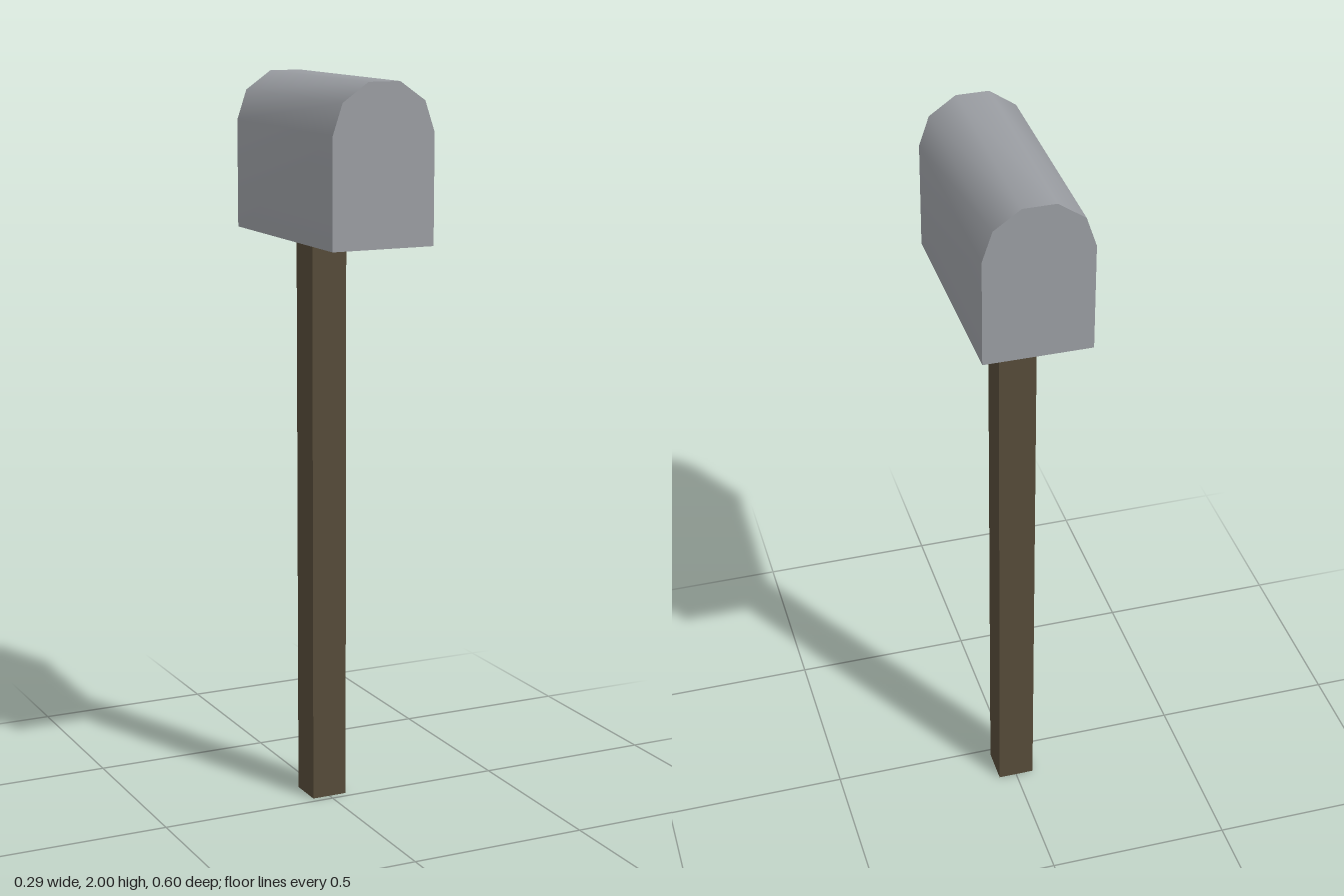
import * as THREE from 'three';
import { toCreasedNormals } from 'three/addons/utils/BufferGeometryUtils.js';

export function createModel() {
  const model = new THREE.Group();
  model.name = 'mailbox';

  const metal = new THREE.MeshStandardMaterial({ color: 0x9a9da2 });
  metal.name = 'grey metal';
  const wood = new THREE.MeshStandardMaterial({ color: 0x564b39 });
  wood.name = 'brown wood';

  // Box: straight walls under a five-sided arch, smooth along the roof
  const halfWidth = 0.143, base = 1.58, spring = 1.87, rise = 0.137, length = 0.6;
  const profile = new THREE.Shape();
  profile.moveTo(-halfWidth, base);
  profile.lineTo(halfWidth, base);
  for (let i = 0; i <= 5; i++) {
    const a = (i / 5) * Math.PI;
    profile.lineTo(halfWidth * Math.cos(a), spring + rise * Math.sin(a));
  }
  profile.closePath();
  const boxGeometry = new THREE.ExtrudeGeometry(profile, { depth: length, bevelEnabled: false });
  boxGeometry.translate(0, 0, -length / 2);
  const box = new THREE.Mesh(toCreasedNormals(boxGeometry, 0.8), metal);
  box.name = 'box';
  model.add(box);

  // Post: wooden sides with grey end faces, set slightly behind the middle
  const post = new THREE.Mesh(
    new THREE.BoxGeometry(0.1, base, 0.1),
    [wood, wood, metal, metal, wood, wood]
  );
  post.name = 'post';
  post.position.set(0, base / 2, -0.07);
  model.add(post);

  return model;
}
